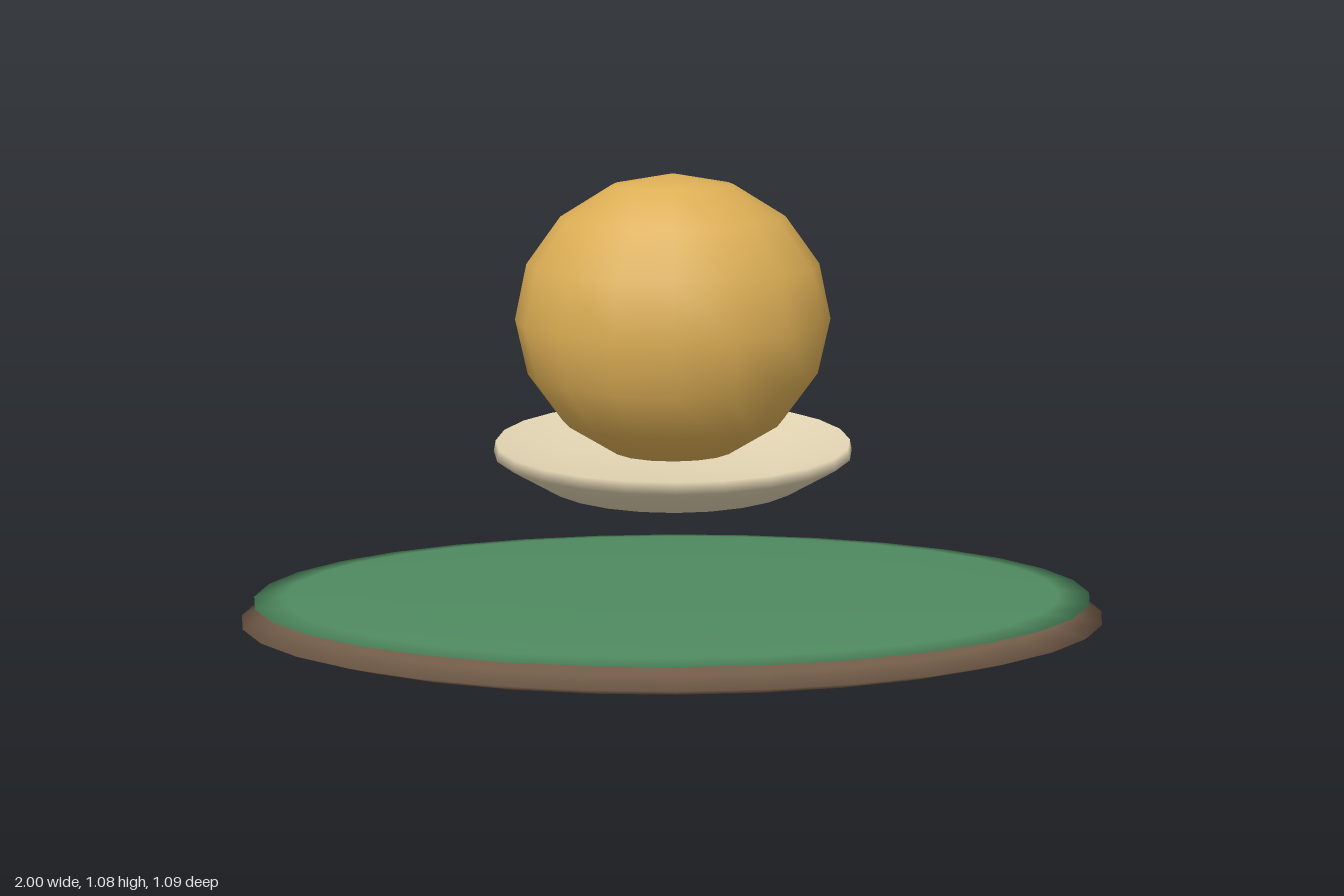
import * as THREE from 'three';

function addPart(group, name, geometry, color) {
  const mesh = new THREE.Mesh(geometry, new THREE.MeshStandardMaterial({ color }));
  mesh.name = name;
  group.add(mesh);
  return mesh;
}

// Sphere stretched to the given radii, centred at height y
function ellipsoid(rx, ry, rz, y, segments) {
  return new THREE.SphereGeometry(1, segments, 8).scale(rx, ry, rz).translate(0, y, 0);
}

export function createModel() {
  const group = new THREE.Group();

  // Flat oval base with a thin green layer on top
  addPart(group, 'base', ellipsoid(1, 0.057, 0.545, 0.06, 32), 0x735c49);
  addPart(group, 'greenTop', ellipsoid(0.97, 0.018, 0.52, 0.105, 32), 0x4f8a60);

  // Shallow dish: underside, flared wall, rim, then hollow inside
  const profile = [
    [0, 0.38], [0.295, 0.38], [0.41, 0.45], [0.405, 0.475], [0.27, 0.425], [0, 0.42],
  ].map(([r, y]) => new THREE.Vector2(r, y));
  addPart(group, 'dish', new THREE.LatheGeometry(profile, 24), 0xe3d5b3);

  // Faceted-outline ball resting in the dish
  addPart(group, 'ball', ellipsoid(0.357, 0.33, 0.29, 0.755, 16), 0xdcae55);

  return group;
}
